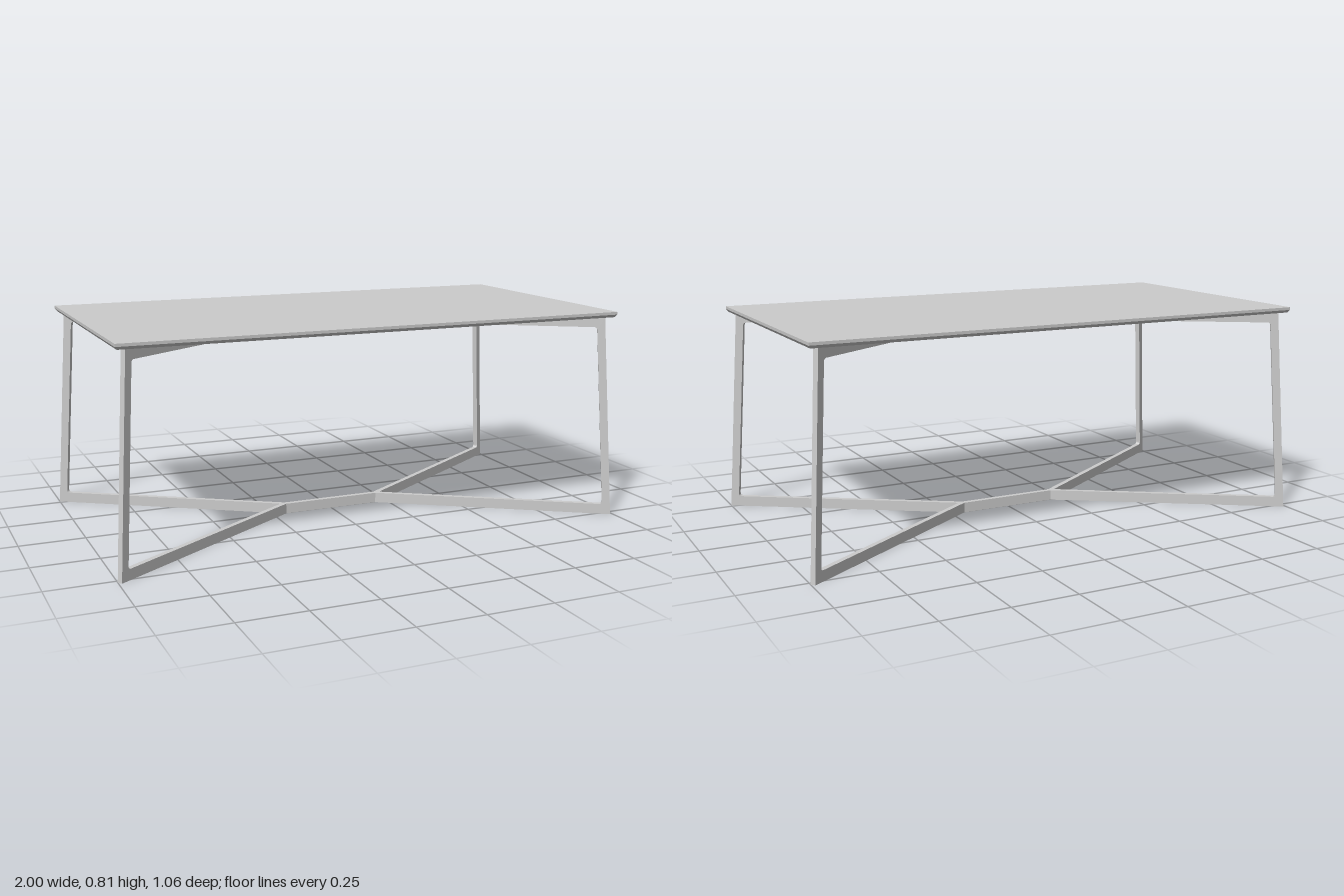
import * as THREE from 'three';

const H = 0.792;               // underside of the top
const BAR = 0.04;              // height of the horizontal bars
const HALF = 0.01;             // half thickness of the frame
const NODE = 0.2;              // where the arms branch from the spine
const ANGLE = Math.atan2(0.5225, 0.7945);
const material = new THREE.MeshStandardMaterial({ color: 0xcccccc, flatShading: true });

function addMesh(parent, name, geometry) {
  const mesh = new THREE.Mesh(geometry, material);
  mesh.name = name;
  parent.add(mesh);
  return mesh;
}

// C-shaped frame: foot bar, inward-leaning leg and upper bar with rounded inner corners
function armGeometry() {
  const reach = 0.951, leg = 0.031, lean = 0.057 / H, r = 0.012;
  const inner = (y) => reach - leg - lean * y;
  const top = H - BAR;
  const s = new THREE.Shape();
  s.moveTo(0, 0);
  s.lineTo(reach, 0);
  s.lineTo(reach - lean * H, H);
  s.lineTo(0, H);
  s.lineTo(0, top);
  s.lineTo(inner(top) - r, top);
  s.quadraticCurveTo(inner(top), top, inner(top - r), top - r);
  s.lineTo(inner(BAR + r), BAR + r);
  s.quadraticCurveTo(inner(BAR), BAR, inner(BAR) - r, BAR);
  s.lineTo(0, BAR);
  s.closePath();
  const g = new THREE.ExtrudeGeometry(s, { depth: 2 * HALF, bevelEnabled: false, curveSegments: 5 });
  return g.translate(0, 0, -HALF);
}

// Central bar joining the two forks, pointed ends filling the crotch of each fork
function spineGeometry() {
  const a = NODE - HALF * Math.tan(ANGLE / 2), b = NODE + 0.024;
  const outline = [[a, -HALF], [b, -0.004], [b, 0.004], [a, HALF],
    [-a, HALF], [-b, 0.004], [-b, -0.004], [-a, -HALF]];
  const s = new THREE.Shape(outline.map(([x, y]) => new THREE.Vector2(x, y)));
  return new THREE.ExtrudeGeometry(s, { depth: BAR, bevelEnabled: false }).rotateX(-Math.PI / 2);
}

// Thin slab with its lower edge tapered inward
function topGeometry() {
  const w = 0.981, d = 0.522, t = 0.0214, inset = 0.008;
  const g = new THREE.BoxGeometry(2 * w, t, 2 * d, 1, 2, 1);
  const p = g.attributes.position;
  for (let i = 0; i < p.count; i++) {
    if (p.getY(i) < -0.001) {
      p.setX(i, Math.sign(p.getX(i)) * (w - inset));
      p.setZ(i, Math.sign(p.getZ(i)) * (d - inset));
    }
  }
  g.computeVertexNormals();
  return g.translate(0, H + t / 2, 0);
}

export function createModel() {
  const table = new THREE.Group();
  table.name = 'table';
  addMesh(table, 'tableTop', topGeometry());

  const base = new THREE.Group();
  base.name = 'base';
  table.add(base);

  const spine = spineGeometry();
  addMesh(base, 'lowerSpine', spine);
  addMesh(base, 'upperSpine', spine).position.y = H - BAR;

  // Four frames, one to each corner
  const arm = armGeometry();
  for (const [sx, side] of [[1, 'Left'], [-1, 'Right']]) {
    for (const [sz, end] of [[1, 'front'], [-1, 'back']]) {
      const mesh = addMesh(base, `${end}${side}LegFrame`, arm);
      mesh.position.x = sx * NODE;
      mesh.rotation.y = -Math.atan2(sz * Math.sin(ANGLE), sx * Math.cos(ANGLE));
    }
  }
  return table;
}
